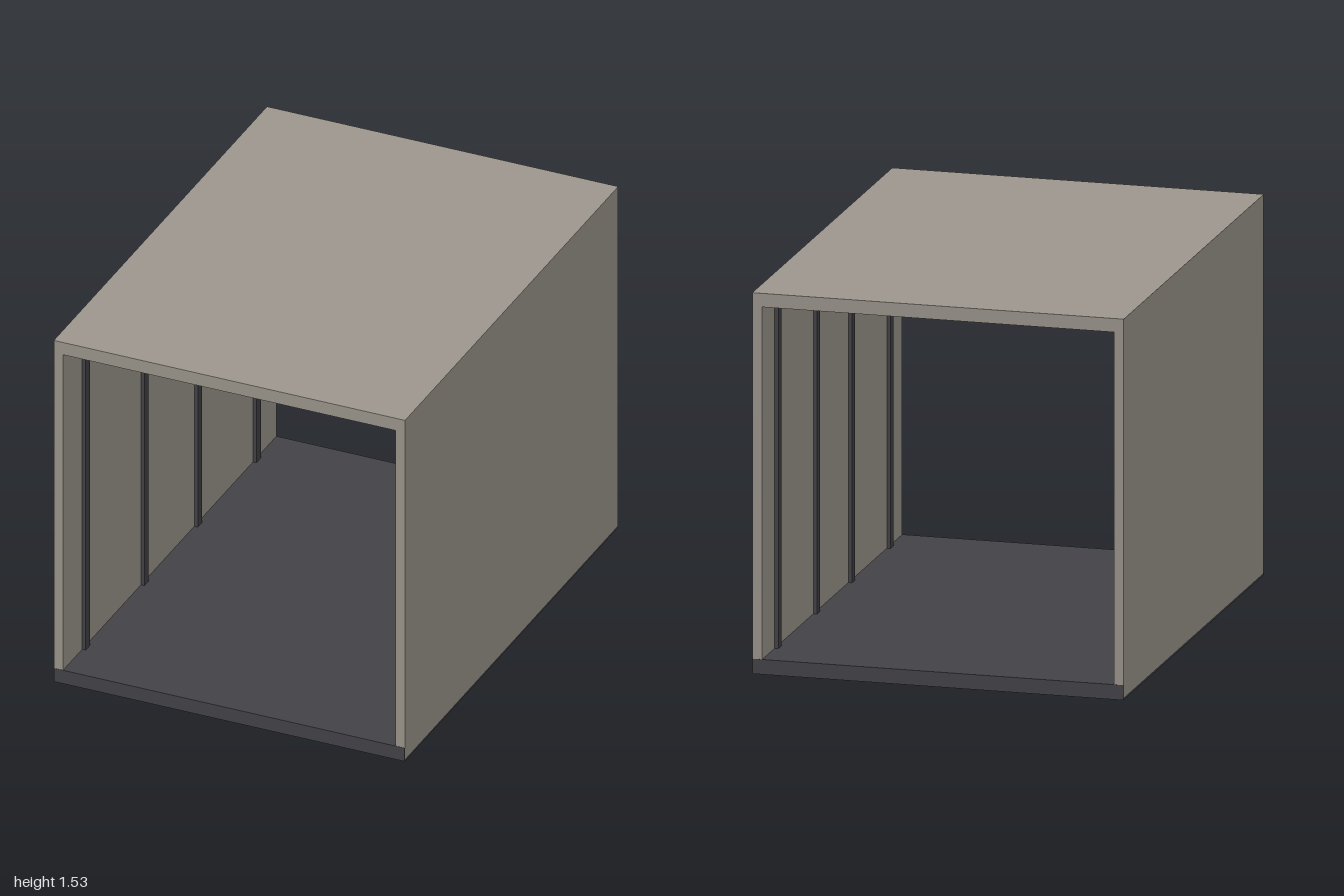
import * as THREE from 'three';

export function createModel() {
  const panelGrey = new THREE.MeshStandardMaterial({ color: 0x9c968d });
  panelGrey.name = 'warm grey panel';
  const darkGrey = new THREE.MeshStandardMaterial({ color: 0x434247 });
  darkGrey.name = 'dark grey frame';

  const model = new THREE.Group();
  model.name = 'openCorridorModule';

  // Box given by its lower and upper limits on each axis
  function box(name, material, [x0, x1], [y0, y1], [z0, z1]) {
    const mesh = new THREE.Mesh(new THREE.BoxGeometry(x1 - x0, y1 - y0, z1 - z0), material);
    mesh.position.set((x0 + x1) / 2, (y0 + y1) / 2, (z0 + z1) / 2);
    mesh.name = name;
    model.add(mesh);
  }

  // Floor slab, a hair narrower and longer than the walls that clad its sides
  box('floor', darkGrey, [-0.749, 0.749], [0, 0.06], [-1, 1]);

  // Roof slab
  box('roof', panelGrey, [-0.75, 0.75], [1.475, 1.53], [-0.999, 0.999]);

  for (const side of [-1, 1]) {
    const span = (a, b) => (side > 0 ? [a, b] : [-b, -a]);
    const label = side > 0 ? 'left' : 'right';
    // Side wall
    box(label + 'Wall', panelGrey, span(0.71, 0.75), [0.01, 1.475], [-0.999, 0.999]);
    // Upright ribs on the inside of the wall
    for (const z of [-0.8, -0.25, 0.25, 0.8]) {
      box(label + 'Rib', darkGrey, span(0.695, 0.711), [0.06, 1.475], [z - 0.02, z + 0.02]);
    }
  }

  // Shallow ceiling panels along the centre line
  for (const z of [-0.6, 0, 0.6]) {
    box('ceilingPanel', panelGrey, [-0.1, 0.1], [1.464, 1.476], [z - 0.2, z + 0.2]);
  }

  return model;
}
